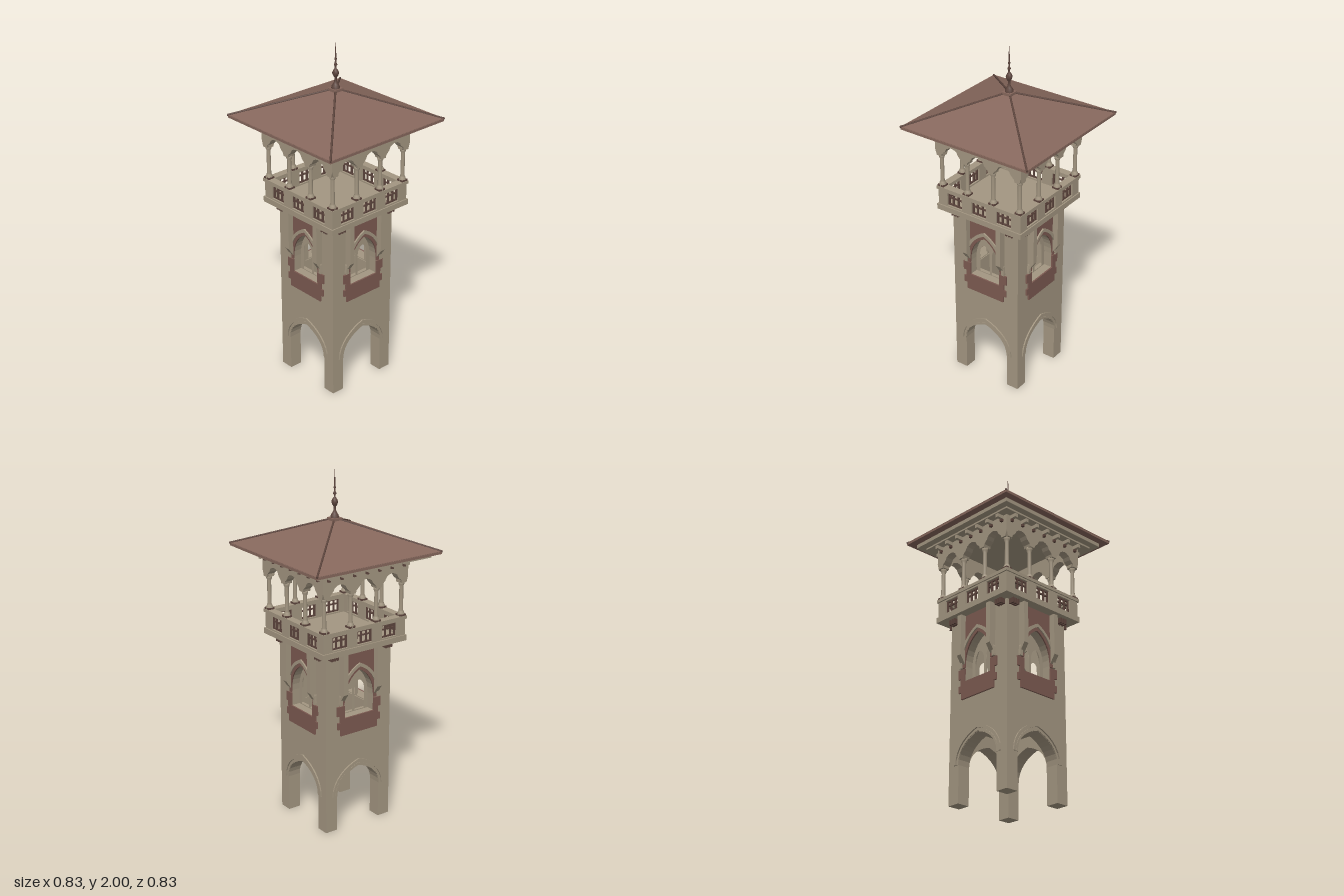
import * as THREE from 'three';

const stone = new THREE.MeshStandardMaterial({ color: 0xa39681 });
const brick = new THREE.MeshStandardMaterial({ color: 0x7c5a51 });
const tile = new THREE.MeshStandardMaterial({ color: 0x86675c });
const wood = new THREE.MeshStandardMaterial({ color: 0x5e463e });
stone.name = 'stone'; brick.name = 'brick'; tile.name = 'roofTile'; wood.name = 'darkWood';

function add(parent, name, geo, mat, x = 0, y = 0, z = 0) {
  const m = new THREE.Mesh(geo, mat);
  m.name = name;
  m.position.set(x, y, z);
  parent.add(m);
  return m;
}
// box given by its min and max corners
function box(parent, name, mat, x0, x1, y0, y1, z0, z1) {
  return add(parent, name, new THREE.BoxGeometry(x1 - x0, y1 - y0, z1 - z0), mat,
    (x0 + x1) / 2, (y0 + y1) / 2, (z0 + z1) / 2);
}
// extrude a shape from z0 to z1
function plate(parent, name, mat, shape, z0, z1) {
  return add(parent, name, new THREE.ExtrudeGeometry(shape, { depth: z1 - z0, bevelEnabled: false, curveSegments: 10 }), mat, 0, 0, z0);
}
const polygon = pts => new THREE.Shape(pts.map(p => new THREE.Vector2(p[0], p[1])));
const rect = (x0, x1, y0, y1) => polygon([[x0, y0], [x1, y0], [x1, y1], [x0, y1]]);
const flat = g => { const n = g.toNonIndexed(); n.computeVertexNormals(); return n; };

// slightly pointed arch, from lower left over the apex to lower right
function archPoints(cx, w, y0, ys, apex) {
  const h = apex - ys;
  const half = new THREE.CubicBezierCurve(
    new THREE.Vector2(-w, ys), new THREE.Vector2(-w, ys + 0.55 * h),
    new THREE.Vector2(-w * 0.5, apex - 0.13 * h), new THREE.Vector2(0, apex)).getPoints(8);
  const left = [[-w, y0], ...half.map(p => [p.x, p.y])];
  const right = left.slice(0, -1).reverse().map(p => [-p[0], p[1]]);
  const pts = [...left, ...right].map(p => [p[0] + cx, p[1]]);
  return y0 === ys ? pts.slice(1, -1) : pts;
}
const archBand = (outer, inner) => polygon([...outer, ...inner.slice().reverse()]);

const T = 0.22, BAY = 0.172, COL = 0.258;

function towerSide() {
  const g = new THREE.Group();
  g.name = 'towerSide';

  // wall with ground arch and window niche
  const ground = archPoints(0, 0.145, 0, 0.21, 0.36);
  const niche = archPoints(0, 0.1, 0.67, 0.76, 0.935);
  const wall = polygon([[-T, 0], ...ground, [T, 0], [T, 1.06], [-T, 1.06]]);
  wall.holes.push(polygon(niche));
  plate(g, 'wall', stone, wall, 0.145, T);

  // stepped mouldings round the ground arch
  plate(g, 'groundArchMoulding', stone,
    archBand(archPoints(0, 0.178, 0.21, 0.21, 0.402), archPoints(0, 0.163, 0.21, 0.21, 0.382)), T, 0.228);
  plate(g, 'groundArchInnerMoulding', stone,
    archBand(archPoints(0, 0.158, 0.21, 0.21, 0.377), archPoints(0, 0.146, 0.21, 0.21, 0.362)), T, 0.224);

  // recessed twin window
  const screen = polygon(archPoints(0, 0.1, 0.67, 0.76, 0.935));
  for (const s of [-1, 1]) screen.holes.push(polygon(archPoints(s * 0.041, 0.033, 0.675, 0.795, 0.85)));
  plate(g, 'twinWindow', stone, screen, 0.15, 0.172);

  // mouldings round the niche
  plate(g, 'windowArchMoulding', stone,
    archBand(archPoints(0, 0.135, 0.75, 0.76, 0.975), archPoints(0, 0.118, 0.75, 0.76, 0.955)), T, 0.235);
  plate(g, 'windowArchInnerMoulding', brick,
    archBand(archPoints(0, 0.118, 0.75, 0.76, 0.955), archPoints(0, 0.1, 0.75, 0.76, 0.935)), T, 0.228);

  // toothed brick apron under the window
  const teeth = [[0.125, 0.57], [0.125, 0.61], [0.145, 0.61], [0.145, 0.65], [0.13, 0.65],
    [0.13, 0.69], [0.148, 0.69], [0.148, 0.745], [0.1, 0.745], [0.1, 0.67]];
  plate(g, 'brickApron', brick,
    polygon([...teeth, ...teeth.slice().reverse().map(p => [-p[0], p[1]])]), T, 0.229);

  // brick panel between the ribs, above the arch
  const over = archPoints(0, 0.135, 0.76, 0.76, 0.975).filter(p => Math.abs(p[0]) < 0.1);
  plate(g, 'brickPanel', brick,
    polygon([[-0.1, 1.06], [-0.1, 0.9], ...over, [0.1, 0.9], [0.1, 1.06]]), T, 0.226);

  // ribs carrying the balcony, tapered at the foot
  for (const s of [-1, 1]) {
    const rib = polygon([[0.21, 0.75], [0.22, 0.76], [0.26, 0.82], [0.26, 1.06], [0.21, 1.06]]);
    const m = plate(g, 'rib', stone, rib, -0.015, 0.015);
    m.rotation.y = -Math.PI / 2;
    m.position.set(s * 0.115 + 0.015, 0, 0);
    for (const x of [0.165, 0.183, 0.201])
      box(g, 'balconyBracket', wood, s * x - 0.005, s * x + 0.005, 1.03, 1.06, 0.21, 0.255);
  }

  // balcony parapet with grilles
  const parapet = rect(-0.275, 0.275, 1.09, 1.185);
  for (const i of [-1, 0, 1]) parapet.holes.push(rect(i * 0.165 - 0.05, i * 0.165 + 0.05, 1.1, 1.175));
  plate(g, 'parapet', stone, parapet, 0.245, 0.275);
  for (const i of [-1, 0, 1]) {
    const x = i * 0.165;
    for (const d of [-0.046, -0.017, 0.017, 0.046])
      box(g, 'grilleBar', wood, x + d - 0.004, x + d + 0.004, 1.1, 1.175, 0.255, 0.265);
    for (const y of [1.104, 1.146, 1.171])
      box(g, 'grilleRail', wood, x - 0.05, x + 0.05, y - 0.004, y + 0.004, 0.256, 0.264);
  }
  box(g, 'parapetRail', stone, -0.282, 0.282, 1.185, 1.203, 0.237, 0.282);

  // columns (the last one belongs to the next side)
  const profile = [[0, 1.2], [0.021, 1.2], [0.021, 1.212], [0.015, 1.228], [0.012, 1.235], [0.011, 1.37],
    [0.016, 1.382], [0.018, 1.4], [0, 1.4]].map(p => new THREE.Vector2(p[0], p[1]));
  for (const x of [-COL, -BAY / 2, BAY / 2]) {
    add(g, 'column', new THREE.LatheGeometry(profile, 10), stone, x, 0, COL);
    box(g, 'columnBase', wood, x - 0.02, x + 0.02, 1.203, 1.213, COL - 0.02, COL + 0.02);
  }

  // arcade frieze
  const under = [];
  for (const i of [-1, 0, 1]) {
    const c = i * BAY;
    under.push([c - 0.07, 1.395], [c - 0.066, 1.41], [c - 0.045, 1.43], [c - 0.035, 1.449], [c - 0.018, 1.459], [c, 1.463],
      [c + 0.018, 1.459], [c + 0.035, 1.449], [c + 0.045, 1.43], [c + 0.066, 1.41], [c + 0.07, 1.395]);
  }
  plate(g, 'arcade', stone,
    polygon([[-0.283, 1.53], [-0.283, 1.43], [-0.272, 1.395], ...under, [0.272, 1.395], [0.283, 1.43], [0.283, 1.53]]), 0.235, 0.283);

  // eaves brackets
  for (let i = -3; i <= 3; i++) {
    const x = i * 0.083;
    box(g, 'eavesBracket', stone, x - 0.009, x + 0.009, 1.505, 1.537, 0.28, 0.325);
    box(g, 'eavesBracketFoot', wood, x - 0.007, x + 0.007, 1.49, 1.505, 0.28, 0.297);
  }
  return g;
}

export function createModel() {
  const model = new THREE.Group();
  model.name = 'tower';
  for (let i = 0; i < 4; i++) {
    const side = towerSide();
    side.rotation.y = i * Math.PI / 2;
    model.add(side);
  }

  // floors
  box(model, 'lowerFloor', stone, -0.15, 0.15, 0.42, 0.44, -0.15, 0.15);
  box(model, 'balconySlab', stone, -0.282, 0.282, 1.06, 1.092, -0.282, 0.282);

  // eaves and roof
  box(model, 'eavesCornice', stone, -0.33, 0.33, 1.526, 1.537, -0.33, 0.33);
  box(model, 'eavesSoffit', stone, -0.37, 0.37, 1.536, 1.56, -0.37, 0.37);
  box(model, 'roofEdge', tile, -0.41, 0.41, 1.558, 1.574, -0.41, 0.41);
  const roof = flat(new THREE.CylinderGeometry(0.025 * Math.SQRT2, 0.411 * Math.SQRT2, 0.152, 4).rotateY(Math.PI / 4));
  add(model, 'roof', roof, tile, 0, 1.648, 0);

  // hip ridges
  const up = new THREE.Vector3(0, 1, 0);
  for (const sx of [-1, 1]) for (const sz of [-1, 1]) {
    const a = new THREE.Vector3(sx * 0.412, 1.572, sz * 0.412), b = new THREE.Vector3(sx * 0.022, 1.726, sz * 0.022);
    const hip = add(model, 'hipRidge', new THREE.CylinderGeometry(0.006, 0.006, a.distanceTo(b), 6), wood);
    hip.position.copy(a).add(b).multiplyScalar(0.5);
    hip.quaternion.setFromUnitVectors(up, b.sub(a).normalize());
  }

  // finial
  box(model, 'finialBlock', tile, -0.029, 0.029, 1.705, 1.737, -0.029, 0.029);
  const finial = [[0.024, 1.737], [0.021, 1.752], [0.014, 1.762], [0.008, 1.775], [0.006, 1.795], [0.013, 1.806],
    [0.019, 1.822], [0.013, 1.838], [0.005, 1.848], [0.005, 1.86], [0.01, 1.868], [0.005, 1.878], [0.004, 1.892],
    [0.007, 1.9], [0.0035, 1.91], [0.003, 1.95], [0, 2]].map(p => new THREE.Vector2(p[0], p[1]));
  add(model, 'finial', new THREE.LatheGeometry(finial, 8), wood);
  return model;
}
